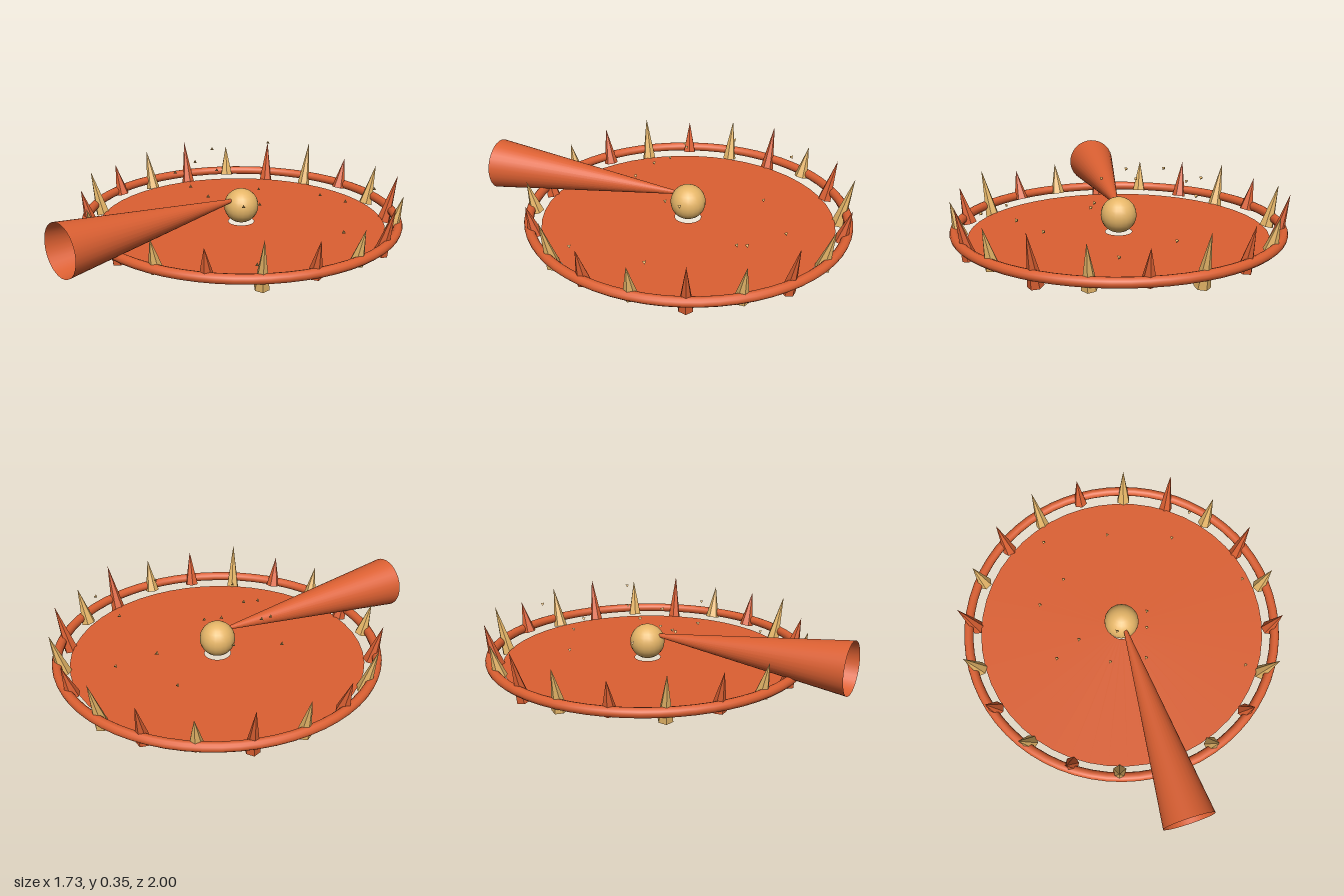
import * as THREE from 'three';

const material = (color, extra = {}) => {
  const m = new THREE.MeshStandardMaterial({ color, ...extra });
  return m;
};

const ORANGE = 0xdc6032;
const GOLD = 0xe6b668;

function addMesh(parent, name, geometry, mat, x = 0, y = 0, z = 0) {
  const mesh = new THREE.Mesh(geometry, mat);
  mesh.name = name;
  mesh.position.set(x, y, z);
  parent.add(mesh);
  return mesh;
}

export function createModel() {
  const model = new THREE.Group();
  model.name = 'spikedRing';
  const centreZ = -0.13;

  const orange = material(ORANGE);
  const orangeOpen = material(ORANGE, { side: THREE.DoubleSide });
  const orangeFlat = material(ORANGE, { flatShading: true });
  const gold = material(GOLD);
  const goldFlat = material(GOLD, { flatShading: true });

  // Thin floor disc with a hole in the middle
  const disc = new THREE.RingGeometry(0.07, 0.78, 48).rotateX(-Math.PI / 2);
  addMesh(model, 'floorDisc', disc, orangeOpen, 0, 0.03, centreZ);

  // Round outer rail
  const rail = new THREE.TorusGeometry(0.842, 0.025, 12, 64).rotateX(Math.PI / 2);
  addMesh(model, 'outerRail', rail, orange, 0, 0.067, centreZ);

  // Central ball
  addMesh(model, 'centreBall', new THREE.SphereGeometry(0.094, 20, 14), gold, 0, 0.122, centreZ);

  // Open cone flaring forward from the ball
  const beam = new THREE.CylinderGeometry(0.001, 0.137, 1.13, 32, 1, true)
    .rotateX(-Math.PI / 2);
  addMesh(model, 'forwardCone', beam, orangeOpen, 0, 0.165, 1 - 1.13 / 2);

  // Spikes leaning outward; heights run counter-clockwise from the front
  const heights = [0.24, 0.18, 0.17, 0.27, 0.2, 0.19, 0.27, 0.21, 0.27, 0.23,
    0.18, 0.275, 0.235, 0.18, 0.27, 0.23, 0.18, 0.25, 0.21, 0.18];
  const spikes = new THREE.Group();
  spikes.name = 'spikes';
  spikes.position.set(0, 0.135, centreZ);
  model.add(spikes);
  heights.forEach((height, i) => {
    const holder = new THREE.Group();
    holder.name = 'spikeHolder';
    holder.rotation.y = (i / heights.length) * Math.PI * 2;
    spikes.add(holder);
    const spike = addMesh(holder, 'spike', new THREE.ConeGeometry(0.039, height, 6),
      i % 2 ? goldFlat : orangeFlat, 0, 0, 0.835);
    spike.rotation.x = 0.25;
  });

  // Small floating sparks on four levels
  const levels = [
    [0.335, [[-0.4, -0.265], [-0.285, -0.61], [-0.26, -0.02], [-0.06, -0.005]]],
    [0.25, [[-0.395, 0.015], [-0.135, 0.115], [0.05, 0.15], [0.54, -0.59]]],
    [0.165, [[0.415, -0.51], [0.705, -0.155], [0.145, -0.13], [0.115, -0.04]]],
    [0.08, [[0.085, -0.68], [-0.23, -0.485], [0.57, 0.295]]],
  ];
  const sparkGeometry = new THREE.TetrahedronGeometry(0.012);
  for (const [y, points] of levels) {
    for (const [x, z] of points) addMesh(model, 'spark', sparkGeometry, goldFlat, x, y, z);
  }

  return model;
}
